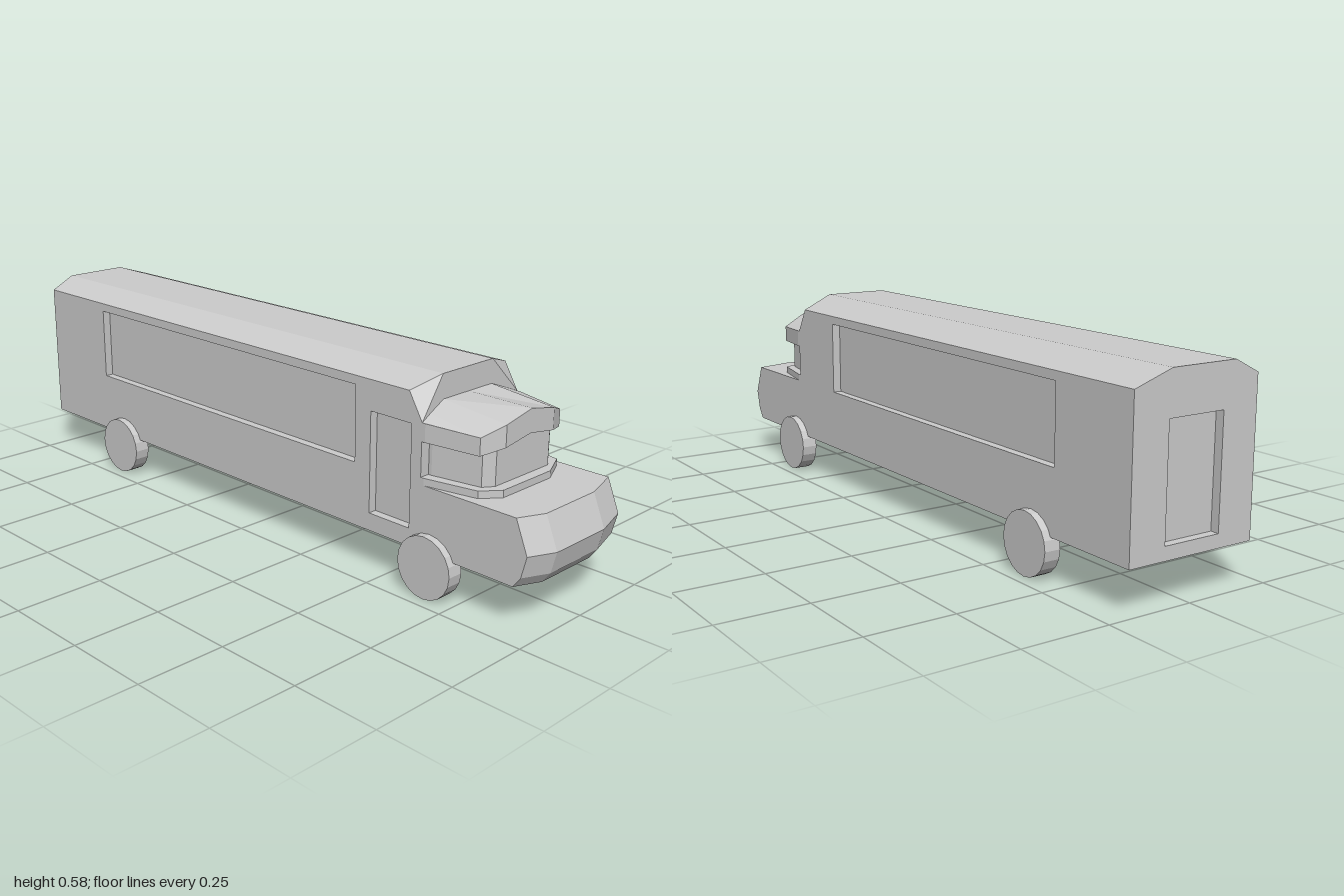
import * as THREE from 'three';
import { ConvexGeometry } from 'three/addons/geometries/ConvexGeometry.js';

const material = new THREE.MeshStandardMaterial({ color: 0xcccccc, flatShading: true });

// Skin equal-length rings (ordered from +z to -z) and cap both ends.
function loft(rings) {
  const n = rings[0].length, last = (rings.length - 1) * n, index = [];
  for (let i = 0; i < rings.length - 1; i++) {
    for (let j = 0; j < n; j++) {
      const a = i * n + j, b = i * n + (j + 1) % n;
      index.push(a, b, b + n, a, b + n, a + n);
    }
  }
  for (let k = 1; k < n - 1; k++) index.push(0, k + 1, k, last, last + k, last + k + 1);
  const g = new THREE.BufferGeometry();
  g.setAttribute('position', new THREE.Float32BufferAttribute(rings.flat(2), 3));
  g.setIndex(index);
  const flat = g.toNonIndexed();
  flat.computeVertexNormals();
  return flat;
}

// Flat wall with rectangular openings [x0, y0, x1, y1].
function wall(outline, holes, depth) {
  const shape = new THREE.Shape(outline.map(p => new THREE.Vector2(...p)));
  for (const [x0, y0, x1, y1] of holes) {
    shape.holes.push(new THREE.Path([[x0, y0], [x0, y1], [x1, y1], [x1, y0]].map(p => new THREE.Vector2(...p))));
  }
  return new THREE.ExtrudeGeometry(shape, { depth, bevelEnabled: false });
}

export function createModel() {
  const bus = new THREE.Group();
  bus.name = 'bus';
  const add = (name, geometry, x = 0, y = 0, z = 0) => {
    const mesh = new THREE.Mesh(geometry, material);
    mesh.name = name;
    mesh.position.set(x, y, z);
    bus.add(mesh);
    return mesh;
  };
  const hull = pts => new ConvexGeometry(pts.map(p => new THREE.Vector3(...p)));
  const box = (x0, x1, y0, y1, z) => new THREE.BoxGeometry(x1 - x0, y1 - y0, 2 * z)
    .translate((x0 + x1) / 2, (y0 + y1) / 2, 0);

  // Inner body, forming the backs of the window and door recesses
  const W = 0.195, T = 0.025;
  add('innerBody', box(-1 + T, 0.6, 0.12, 0.53, W - T));
  add('frontBulkhead', box(0.6, 0.63, 0.12, 0.466, W - T));

  // Side walls with long windows; only one side has a passenger door
  const side = [[-1, 0.12], [0.63, 0.12], [0.63, 0.465], [0.42, 0.465], [0.42, 0.52], [-1, 0.52]];
  const windowHole = [-0.72, 0.3, 0.4, 0.515];
  const doorHole = [0.455, 0.17, 0.595, 0.455];
  add('doorSideWall', wall(side, [windowHole, doorHole], T), 0, 0, W - T);
  add('farSideWall', wall(side, [windowHole], T), 0, 0, -W);

  // Rear wall with door
  const w = W - T;
  add('rearWall', wall([[-w, 0.12], [w, 0.12], [w, 0.53], [-w, 0.53]], [[-0.086, 0.157, 0.086, 0.46]], T), -1)
    .rotation.y = Math.PI / 2;

  // Roof, and its front end with the slanted corners
  const roofLine = [[0.54, W], [0.578, 0.12], [0.578, -0.08], [0.54, -W]];
  const roofSection = (x, yLow) => [[yLow, W], ...roofLine, [yLow, -W]].map(([y, z]) => [x, y, z]);
  add('roof', hull([...roofSection(-1, 0.52), ...roofSection(0.42, 0.52)]));
  const frontEnd = roofSection(0.63, 0.465);
  frontEnd[1][0] = frontEnd[4][0] = 0.585;
  add('roofFront', hull([...roofSection(0.42, 0.465), ...frontEnd]));

  // Nose with a faceted, rounded front
  add('nose', loft([[W, 0.93], [0.12, 0.963], [-0.08, 0.963], [-W, 0.93]].map(([z, x]) => [
    [0.63, 0.3, z], [x, 0.3, z], [x + 0.037, 0.21, z], [x + 0.022, 0.15, z], [x, 0.12, z], [0.63, 0.12, z],
  ])));

  // Visor over the windscreen: z, front x, back top, front top, front bottom, back bottom
  add('visor', loft([
    [W, 0.64, 0.465, 0.465, 0.415, 0.415],
    [0.165, 0.79, 0.483, 0.458, 0.41, 0.415],
    [0.115, 0.83, 0.51, 0.49, 0.43, 0.43],
    [0.015, 0.83, 0.51, 0.51, 0.445, 0.445],
    [-0.08, 0.83, 0.51, 0.49, 0.43, 0.43],
    [-0.165, 0.79, 0.477, 0.458, 0.41, 0.415],
    [-W, 0.64, 0.465, 0.465, 0.415, 0.415],
  ].map(([z, x, a, b, c, d]) => [[0.63, a, z], [x, b, z], [x, c, z], [0.63, d, z]])));

  // Straight-sided slabs from a plan of [z, front x]
  const slab = (plan, y0, y1) => loft(plan.map(([z, x]) => [[0.63, y1, z], [x, y1, z], [x, y0, z], [0.63, y0, z]]));
  add('windscreenLedge', slab([[W, 0.64], [0.165, 0.79], [0.115, 0.83], [-0.08, 0.83], [-0.165, 0.79], [-W, 0.64]], 0.295, 0.32));
  add('cabWindows', slab([[0.165, 0.64], [0.14, 0.78], [0.11, 0.8], [-0.11, 0.8], [-0.14, 0.78], [-0.165, 0.64]], 0.31, 0.45));

  // Wheels
  const wheel = new THREE.CylinderGeometry(0.087, 0.087, 0.048, 20).rotateX(Math.PI / 2);
  for (const [end, x] of [['rear', -0.63], ['front', 0.665]]) {
    for (const s of [1, -1]) add(end + 'Wheel', wheel, x, 0.087, s * 0.193);
  }
  return bus;
}
